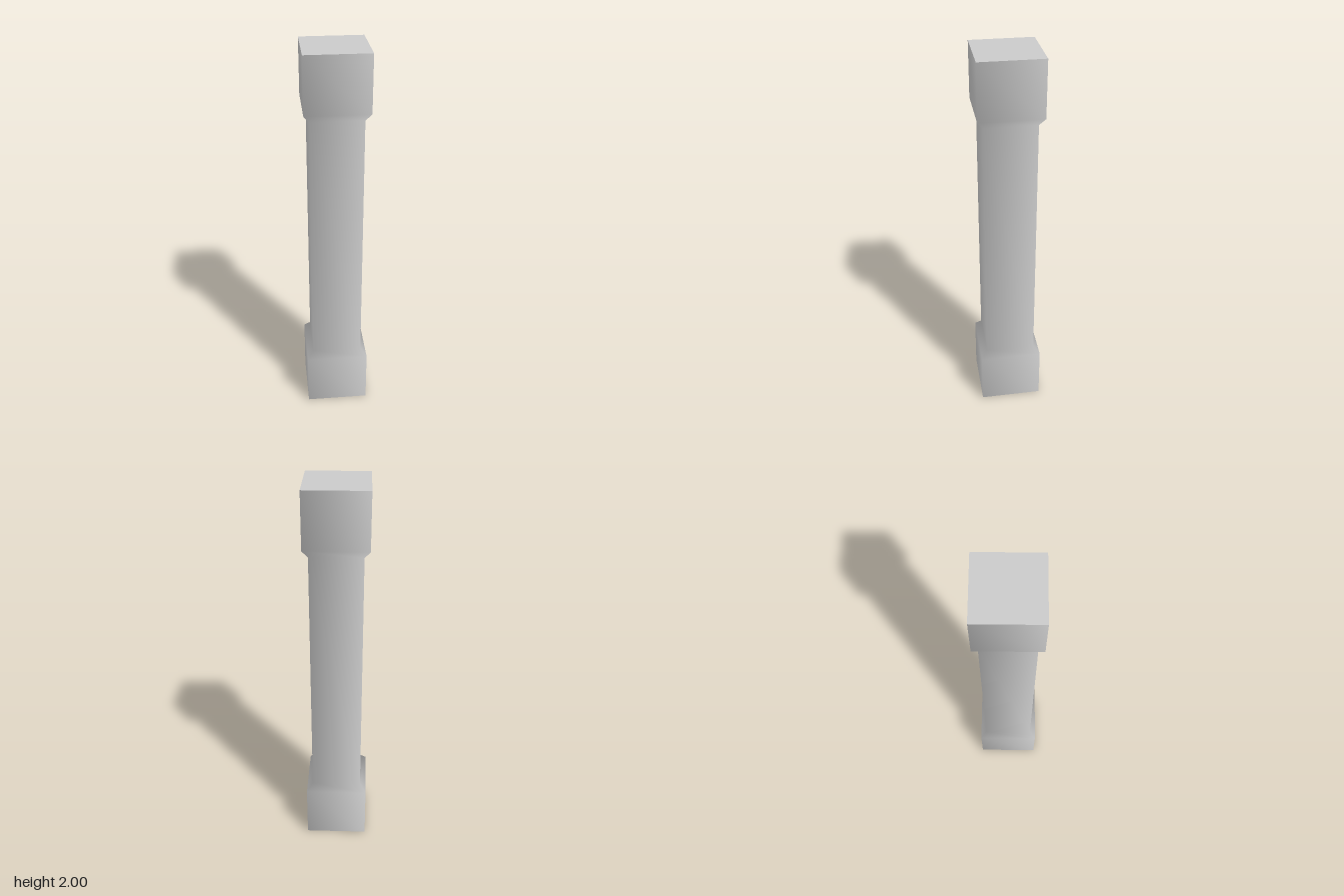
import * as THREE from 'three';

// Half-width and height of the square section, from the foot up
const PROFILE = [
  [0.164, 0], [0.164, 0.29], [0.132, 0.33],
  [0.132, 1.675], [0.16, 1.715], [0.16, 2],
];

export function createModel() {
  const group = new THREE.Group();
  group.name = 'column';
  const material = new THREE.MeshStandardMaterial({ color: 0xcccccc });

  const add = (name, geometry) => {
    const mesh = new THREE.Mesh(geometry, material);
    mesh.name = name;
    group.add(mesh);
    return mesh;
  };

  // Four-sided turned body with soft corners: plinth, shaft and capital in one surface
  const points = PROFILE.map(([half, y]) => new THREE.Vector2(half * Math.SQRT2, y));
  add('columnBody', new THREE.LatheGeometry(points, 4, Math.PI / 4));

  // Flat end faces with sharp edges
  const endFace = (name, [half, y], turn) => {
    const face = add(name, new THREE.PlaneGeometry(half * 2, half * 2));
    face.rotation.x = turn;
    face.position.y = y;
  };
  endFace('bottomFace', PROFILE[0], Math.PI / 2);
  endFace('topFace', PROFILE[PROFILE.length - 1], -Math.PI / 2);

  return group;
}
